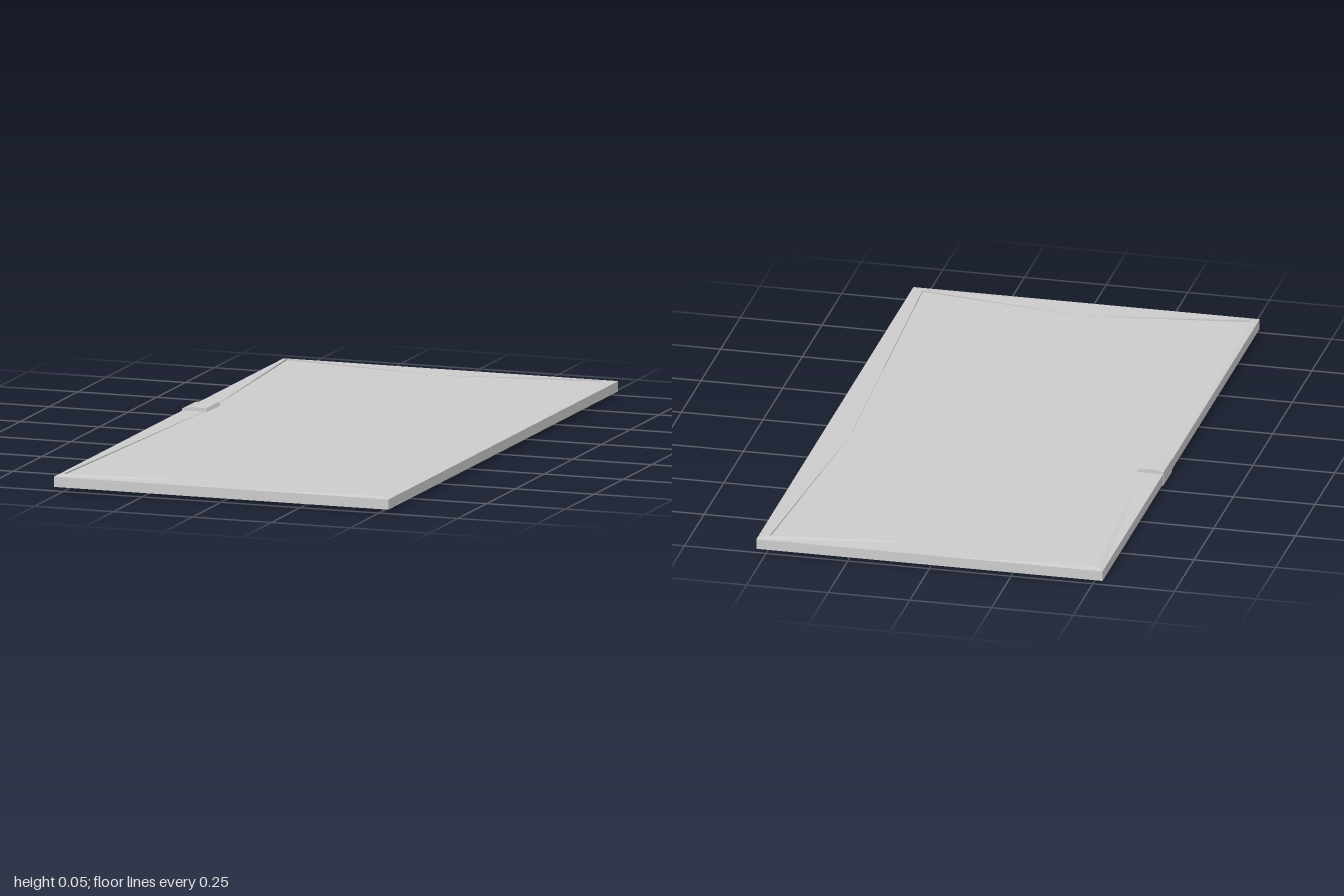
import * as THREE from 'three';

const MID = 0.0275;   // height of the slab's middle plane
const HALF = 0.0155;  // half thickness of the slab
const RISE = 0.005;   // how far the frame lifts at its corners

const material = new THREE.MeshStandardMaterial({ color: 0xcccccc, flatShading: true });

// Corners and edge middles of the outline, and the matching inner edge of the frame: [x, z]
const outer = [[-0.53, -1], [-0.53, -0.17], [-0.53, 1], [0, 1], [0.53, 1], [0.53, -0.17], [0.53, -1], [0, -1]];
const inner = [[-0.51, -0.975], [-0.46, -0.17], [-0.51, 0.97], [-0.01, 0.9],
  [0.495, 0.97], [0.445, -0.17], [0.495, -0.975], [-0.01, -0.9]];

// Closed skin through stacked rings, the first and last collapsing to a point
function loft(rings) {
  const positions = [];
  const n = rings[0].length;
  for (let r = 0; r + 1 < rings.length; r++) {
    for (let i = 0; i < n; i++) {
      const j = (i + 1) % n;
      const [a, b, c, d] = [rings[r][i], rings[r][j], rings[r + 1][j], rings[r + 1][i]];
      positions.push(...a, ...b, ...c, ...a, ...c, ...d);
    }
  }
  const geometry = new THREE.BufferGeometry();
  geometry.setAttribute('position', new THREE.Float32BufferAttribute(positions, 3));
  geometry.computeVertexNormals();
  return geometry;
}

function createDoor() {
  // One face of the door, from panel centre to outer edge
  const face = (side) => {
    const ring = (points, lift) => points.map(([x, z], i) => [x, MID + side * (HALF + lift(i)), z]);
    return [
      ring(inner.map(() => [0, 0]), () => 0),
      ring(inner, () => 0),
      ring(inner, (i) => (i % 2 === 0 ? RISE : 0.0004)),
      ring(outer, () => 0),
    ];
  };
  const mesh = new THREE.Mesh(loft([...face(-1), ...face(1).reverse()]), material);
  mesh.name = 'doorSlab';
  return mesh;
}

function createLatch() {
  // Bevelled plate wrapping the edge of the door, showing on both faces
  const shape = new THREE.Shape([
    [-0.531, -0.021], [-0.5, -0.0275], [-0.455, -0.0265], [-0.45, -0.014],
    [-0.45, 0.014], [-0.455, 0.0265], [-0.5, 0.0275], [-0.531, 0.021],
  ].map(([x, y]) => new THREE.Vector2(x, y)));
  const geometry = new THREE.ExtrudeGeometry(shape, { depth: 0.11, bevelEnabled: false });
  geometry.translate(0, MID, -0.23);
  const mesh = new THREE.Mesh(geometry, material);
  mesh.name = 'latchPlate';
  return mesh;
}

export function createModel() {
  const group = new THREE.Group();
  group.name = 'door';
  group.add(createDoor(), createLatch());
  return group;
}
